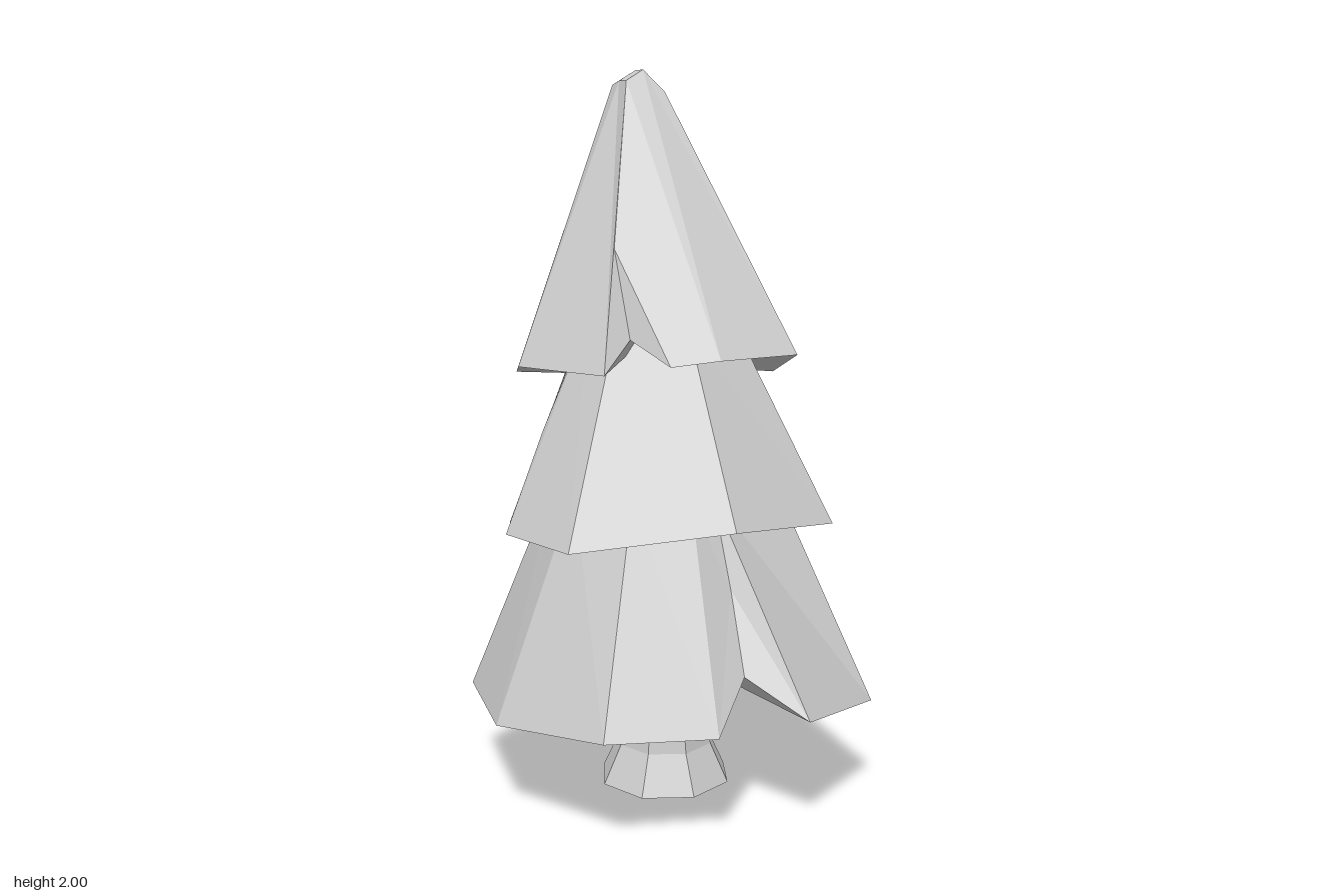
import * as THREE from 'three';

const material = new THREE.MeshStandardMaterial({ color: 0xcccccc, flatShading: true, side: THREE.DoubleSide });

// One skirt of foliage. Columns run anticlockwise seen from above, starting at the front:
//   { rim, top } is a wall edge; { rim, peak } is a notch cut up into the wall as far as peak.
// Tops that are not given are the rim pulled in around the crown.
function makeTier(name, columns, crown, shrink, under) {
  const n = columns.length;
  const tops = columns.map(c => c.top || [0, 1, 2].map(k =>
    k === 1 ? crown[1] : crown[k] + (c.rim[k] - under[k]) * shrink));
  columns.forEach((c, i) => {
    if (!c.peak) return;
    const a = tops[(i + n - 1) % n], b = tops[(i + 1) % n];
    tops[i] = a.map((v, k) => (v + b[k]) / 2);
  });

  const positions = [];
  const tri = (a, b, c) => positions.push(...a, ...b, ...c);
  columns.forEach((a, i) => {
    const j = (i + 1) % n, b = columns[j], ta = tops[i], tb = tops[j];
    if (b.peak) {
      tri(ta, a.rim, b.peak);
      tri(a.rim, b.rim, b.peak);
      tri(ta, b.peak, tb);
    } else if (a.peak) {
      tri(a.peak, b.rim, tb);
      tri(a.peak, a.rim, b.rim);
      tri(ta, a.peak, tb);
    } else {
      tri(ta, a.rim, b.rim);
      tri(ta, b.rim, tb);
    }
    tri(crown, ta, tb);
    tri(under, b.rim, a.rim);
  });

  const geometry = new THREE.BufferGeometry();
  geometry.setAttribute('position', new THREE.Float32BufferAttribute(positions, 3));
  geometry.computeVertexNormals();
  const mesh = new THREE.Mesh(geometry, material);
  mesh.name = name;
  return mesh;
}

const edge = (x, y, z, top) => ({ rim: [x, y, z], top });
const notch = (rim, peak) => ({ rim, peak });

export function createModel() {
  const tree = new THREE.Group();
  tree.name = 'pineTree';

  // Trunk flaring out at the foot
  const profile = [[0, 0], [0.19, 0.01], [0.138, 0.12], [0.114, 0.28], [0.1, 0.45]]
    .map(p => new THREE.Vector2(...p));
  const trunk = new THREE.Mesh(new THREE.LatheGeometry(profile, 8), material);
  trunk.name = 'trunk';
  trunk.position.set(0.037, 0, -0.05);
  tree.add(trunk);

  // Lower skirt, split at the front and the back
  tree.add(makeTier('lowerFoliage', [
    edge(0.165, 0.355, 0.545, [0.07, 0.88, 0.18]),
    edge(0.487, 0.29, 0.333),
    edge(0.513, 0.26, -0.13),
    edge(0.446, 0.31, -0.5),
    edge(0.125, 0.26, -0.533),
    notch([0.05, 0.33, -0.43], [0.035, 0.49, -0.435]),
    edge(-0.01, 0.25, -0.547),
    edge(-0.438, 0.26, -0.354),
    edge(-0.513, 0.29, 0.067),
    edge(-0.362, 0.345, 0.435),
    edge(-0.08, 0.34, 0.513),
    notch([0.046, 0.45, 0.41], [0.065, 0.65, 0.295]),
  ], [0.045, 0.88, -0.075], 0.54, [0.02, 0.4, -0.01]));

  // Middle skirt, split on both sides
  tree.add(makeTier('middleFoliage', [
    edge(0.03, 0.83, 0.39),
    edge(0.41, 0.78, 0.235),
    notch([0.375, 0.855, 0.135], [0.27, 1.18, 0.045]),
    edge(0.455, 0.745, 0.05),
    edge(0.487, 0.71, -0.1),
    edge(0.357, 0.745, -0.39),
    edge(0.07, 0.705, -0.54),
    edge(-0.29, 0.71, -0.42),
    edge(-0.36, 0.73, -0.237),
    notch([-0.33, 0.84, -0.185], [-0.295, 1.03, -0.13]),
    edge(-0.427, 0.77, -0.07),
    edge(-0.365, 0.78, 0.223),
  ], [0.05, 1.32, -0.14], 0.45, [0.03, 0.79, -0.07]));

  // Leaning top with a small blunt tip
  const tip = {
    front: [0.055, 2, -0.23],
    frontLeft: [0.105, 1.94, -0.195],
    backLeft: [0.115, 1.93, -0.29],
    back: [0.06, 1.95, -0.327],
    backRight: [0, 1.96, -0.316],
    right: [0, 1.97, -0.27],
    frontRight: [0, 1.97, -0.22],
  };
  tree.add(makeTier('topFoliage', [
    edge(0.046, 1.255, 0.266, tip.front),
    edge(0.3, 1.25, 0.217, tip.frontLeft),
    edge(0.42, 1.15, -0.127, tip.backLeft),
    edge(0.365, 1.14, -0.28, tip.backLeft),
    notch([0.25, 1.22, -0.345], [0.226, 1.46, -0.365]),
    edge(0.255, 1.17, -0.458, tip.backLeft),
    edge(0.06, 1.11, -0.527, tip.back),
    edge(-0.255, 1.15, -0.438, tip.backRight),
    edge(-0.354, 1.21, -0.15, tip.right),
    edge(-0.235, 1.22, 0.16, tip.frontRight),
    notch([-0.135, 1.3, 0.1], [-0.135, 1.53, 0]),
    edge(-0.075, 1.24, 0.22, tip.frontRight),
  ], [0.058, 2, -0.288], 1, [0.05, 1.29, -0.14]));

  return tree;
}
